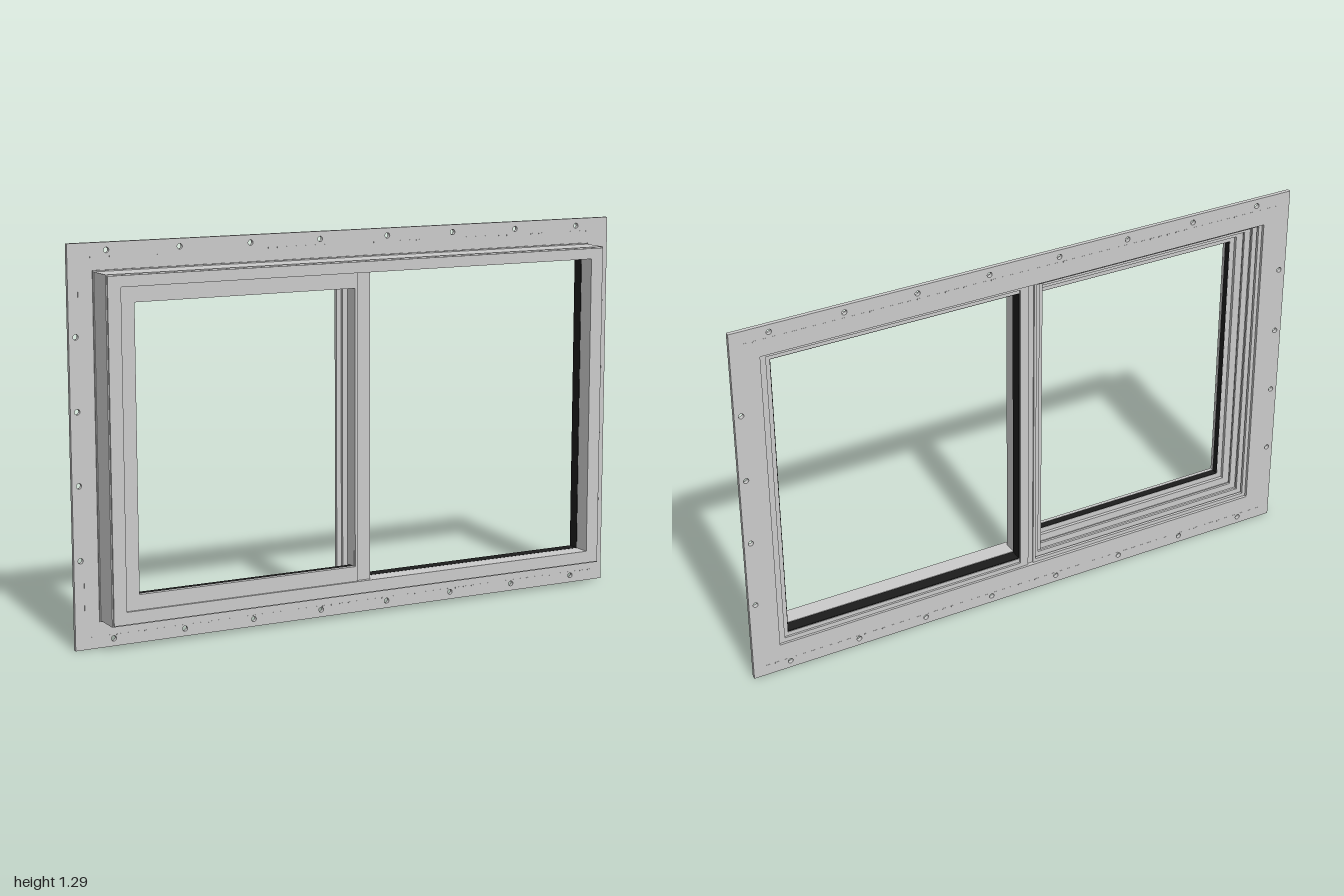
import * as THREE from 'three';

const grey = new THREE.MeshStandardMaterial({ color: 0xcccccc });
const rubber = new THREE.MeshStandardMaterial({ color: 0x1c1c1c });

// Rectangles are [x0, x1, y0, y1].
function trace(path, [x0, x1, y0, y1]) {
  path.moveTo(x0, y0);
  path.lineTo(x1, y0);
  path.lineTo(x1, y1);
  path.lineTo(x0, y1);
  path.closePath();
  return path;
}

export function createModel() {
  const model = new THREE.Group();

  const add = (name, geometry, material = grey) => {
    const mesh = new THREE.Mesh(geometry, material);
    mesh.name = name;
    model.add(mesh);
    return mesh;
  };

  // Flat rectangular ring between two depths, with optional round holes
  const ring = (name, outer, inner, z0, z1, material = grey, holes = []) => {
    const shape = trace(new THREE.Shape(), outer);
    shape.holes.push(trace(new THREE.Path(), inner));
    for (const [x, y] of holes) {
      shape.holes.push(new THREE.Path().absarc(x, y, 0.009, 0, Math.PI * 2, true));
    }
    const geometry = new THREE.ExtrudeGeometry(shape, { depth: z1 - z0, bevelEnabled: false, curveSegments: 8 });
    return add(name, geometry.translate(0, 0, z0), material);
  };

  const box = (name, x0, x1, y0, y1, z0, z1, material = grey) =>
    add(name, new THREE.BoxGeometry(x1 - x0, y1 - y0, z1 - z0)
      .translate((x0 + x1) / 2, (y0 + y1) / 2, (z0 + z1) / 2), material);

  // Nailing flange with its row of fixing holes
  const holes = [];
  for (const x of [0.125, 0.375, 0.622, 0.87]) {
    for (const s of [-1, 1]) holes.push([s * x, 0.025], [s * x, 1.265]);
  }
  for (const y of [0.29, 0.53, 0.765, 1.0]) holes.push([-0.977, y], [0.977, y]);
  ring('nailingFlange', [-1, 1, 0, 1.29], [-0.903, 0.903, 0.102, 1.188], -0.06, -0.046, grey, holes);

  // Dashed score lines along the flange
  for (let i = 0; i < 60; i++) {
    const x = -0.95 + i * (1.9 / 59);
    for (const y of [0.037, 1.245]) box('scoreMark', x - 0.007, x + 0.007, y - 0.002, y + 0.002, -0.0607, -0.0453);
  }
  for (const s of [-1, 1]) {
    for (const y of [0.17, 1.13]) box('flangeRib', s * 0.965 - 0.002, s * 0.965 + 0.002, y - 0.05, y + 0.05, -0.05, -0.045);
  }

  // Outer frame: foot bead, main wall and a slightly chamfered front lip
  ring('frameFoot', [-0.918, 0.918, 0.086, 1.204], [-0.903, 0.903, 0.102, 1.188], -0.046, -0.04);
  ring('frameWall', [-0.915, 0.915, 0.09, 1.2], [-0.903, 0.903, 0.102, 1.188], -0.04, 0.054);
  ring('frontLip', [-0.911, 0.911, 0.094, 1.196], [-0.867, 0.865, 0.135, 1.16], 0.035, 0.06);

  // Fixed light on the left: stepped jamb with a glazing gasket at the back
  const leftOuter = [-0.02, 0.905, 0.1, 1.19];
  ring('leftJambBack', leftOuter, [0.011, 0.882, 0.118, 1.177], -0.052, -0.045);
  ring('leftJamb', leftOuter, [0.01, 0.868, 0.132, 1.163], -0.045, 0.0);
  ring('leftGasket', [0.009, 0.87, 0.13, 1.165], [0.0125, 0.865, 0.135, 1.16], -0.043, -0.002, rubber);
  ring('leftGlazingStop', leftOuter, [0.01, 0.865, 0.135, 1.16], 0.0, 0.045);

  // Right light: track steps rising toward the front, [inset, back, front]
  const steps = [
    [0.012, -0.05, -0.04], [0.024, -0.032, -0.024], [0.02, -0.024, -0.014],
    [0.042, -0.014, -0.006], [0.036, -0.006, 0.004], [0.062, 0.004, 0.015],
    [0.08, 0.015, 0.04], [0.082, 0.04, 0.052],
  ];
  const rightOuter = [-0.905, -0.04, 0.1, 1.19];
  const inset = (d) => [-0.902 + d, -0.049, 0.103 + d, 1.192 - d];
  for (const [d, z0, z1] of steps) ring('rightTrackStep', rightOuter, inset(d), z0, z1);
  ring('rightGasket', inset(0.078), inset(0.0815), 0.016, 0.0395, rubber);

  // Centre mullion and the meeting stile set behind it
  box('mullion', -0.05, 0.01, 0.1, 1.19, -0.045, 0.045);
  box('meetingStile', -0.085, -0.049, 0.12, 1.17, -0.022, -0.01);
  box('meetingStileRib', -0.068, -0.049, 0.12, 1.17, -0.034, 0.0);

  return model;
}
